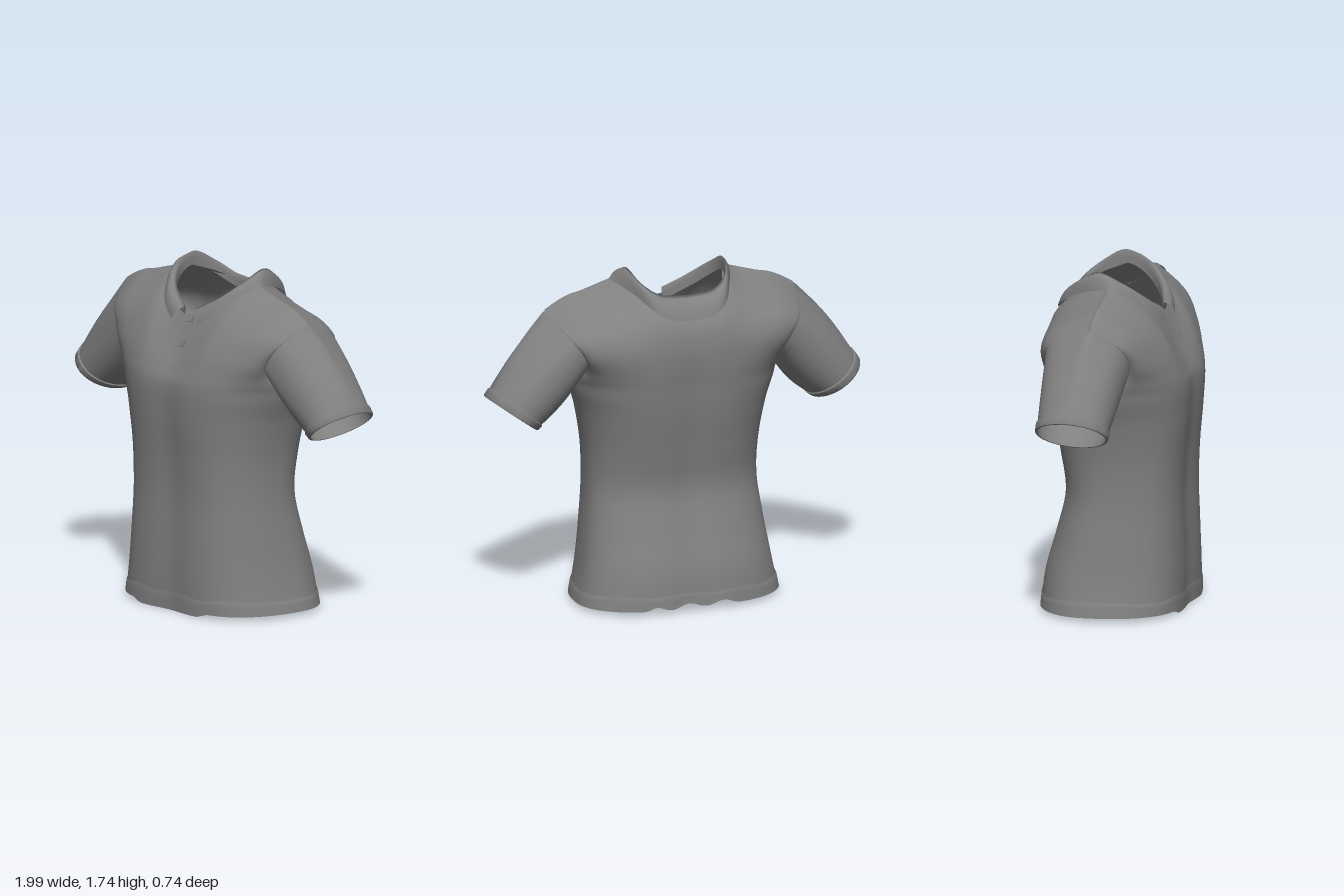
import * as THREE from 'three';
import { mergeVertices, toCreasedNormals } from 'three/addons/utils/BufferGeometryUtils.js';

const V = (x, y, z) => new THREE.Vector3(x, y, z);
const { lerp, clamp, smoothstep } = THREE.MathUtils;
const path = keys => new THREE.CatmullRomCurve3(keys.map(k => V(...k)), false, 'catmullrom', 0.5);
const track = values => {
  const c = path(values.map(v => [v, 0, 0]));
  return f => c.getPoint(clamp(f / (values.length - 1), 0, 1)).x;
};

// Smooth surface from a rule point(a, b), with a and b from 0 to 1
function grid(point, nu, nv) {
  const pos = [], index = [];
  for (let j = 0; j <= nv; j++)
    for (let i = 0; i <= nu; i++) pos.push(...point(i / nu, j / nv).toArray());
  for (let j = 0; j < nv; j++)
    for (let i = 0; i < nu; i++) {
      const p = j * (nu + 1) + i, q = p + nu + 1;
      index.push(p, p + 1, q, p + 1, q + 1, q);
    }
  let geo = new THREE.BufferGeometry();
  geo.setAttribute('position', new THREE.Float32BufferAttribute(pos, 3));
  geo.setIndex(index);
  geo = mergeVertices(geo, 1e-5);
  geo.computeVertexNormals();
  return geo;
}

// Torso measurements: keys 0-6 run from hem to armpit, 6-10 from armpit to shoulder;
// topY and topZ run from the middle of the neckline out along the shoulder
const levelY = track([0.02, 0.2, 0.4, 0.6, 0.8, 1.0, 1.17]);
const sideZ = track([-0.075, -0.065, -0.03, 0, 0, 0, 0]);
const halfWidth = track([0.53, 0.495, 0.467, 0.448, 0.455, 0.49, 0.54, 0.525, 0.56, 0.62, 0.68]);
const ridgeZ = 0.03;
const panels = {
  front: {
    dir: 1, lowRound: 3.9, highRound: 2.9,
    centre: track([0.36, 0.36, 0.355, 0.35, 0.36, 0.38, 0.385, 0.35, 0.305, 0.265, 0.23]),
    armhole: track([0, 0.165, 0.19, 0.155, ridgeZ]),
    topY: track([1.49, 1.505, 1.54, 1.6, 1.67, 1.655, 1.635, 1.615, 1.6, 1.57, 1.53]),
    topZ: track([0.22, 0.215, 0.19, 0.13, 0.03, 0.03, 0.03, 0.03, 0.03, 0.03, 0.03]),
  },
  back: {
    dir: -1, lowRound: 2.8, highRound: 3.2,
    centre: track([-0.365, -0.345, -0.29, -0.245, -0.27, -0.305, -0.325, -0.335, -0.335, -0.315, -0.25]),
    armhole: track([0, -0.17, -0.23, -0.19, ridgeZ]),
    topY: track([1.56, 1.565, 1.58, 1.62, 1.67, 1.655, 1.635, 1.615, 1.6, 1.57, 1.53]),
    topZ: track([-0.24, -0.24, -0.23, -0.17, -0.02, 0.03, 0.03, 0.03, 0.03, 0.03, 0.03]),
  },
};

// Point on the torso: u from -1 to 1 across a panel, v from 0 to 10 up it
function torso(side, u, v) {
  const p = panels[side], w = Math.min(1, Math.abs(u)), t = Math.max(0, (v - 6) / 4);
  const round = lerp(p.lowRound, p.highRound, smoothstep(v, 3, 6));
  const shape = Math.sqrt(Math.max(0, 1 - w ** round));
  const edge = t > 0 ? p.armhole(t * 4) : sideZ(v);
  let z = lerp(edge, p.centre(v), shape);
  z += (p.topZ(w * 10) - lerp(ridgeZ, p.centre(10), shape)) * t ** 4;
  z -= p.dir * 0.014 * Math.exp(-((u / 0.2) ** 2)) * (1 - t);
  return V(u * halfWidth(v), t > 0 ? lerp(1.17, p.topY(w * 10), t) : levelY(v), z);
}

// Point lying just above the shoulders: s < 0 is behind the shoulder line, s > 0 before it
function onShoulder(u, s, lift) {
  const p = torso(s < 0 ? 'back' : 'front', u, 10 - 4 * Math.abs(s));
  p.y += lift * 0.7;
  p.z += lift * clamp(s * 12, -1, 1);
  return p;
}

// Sleeve: blends from the armhole loop to an oval cuff
function sleeve(a, s, r = 1) {
  const t = a < 0.5 ? 2 * a : 2 - 2 * a, sign = a < 0.5 ? 1 : -1;
  const start = torso(sign > 0 ? 'front' : 'back', 1, 6 + 4 * t);
  const c = -Math.cos(Math.PI * t), n = Math.sin(Math.PI * t);
  const end = V(0.874 + 0.119 * c, 1.038 + 0.086 * c, -0.017 + sign * 0.178 * n);
  const p = start.lerp(end, s);
  const bulge = 0.015 * Math.sin(Math.PI * s);
  p.x += bulge * c;
  p.y += bulge * c;
  const mid = V(lerp(0.61, 0.874, s), lerp(1.35, 1.038, s), -0.017);
  return p.sub(mid).multiplyScalar(r).add(mid);
}

export function createModel() {
  const shirt = new THREE.Group();
  shirt.name = 'poloShirt';
  const fabric = new THREE.MeshStandardMaterial({ color: 0x808080, side: THREE.DoubleSide });
  fabric.name = 'grey fabric';
  const add = (name, geo) => {
    const m = new THREE.Mesh(geo, fabric);
    m.name = name;
    shirt.add(m);
    return m;
  };
  // Adds a part and its mirror image
  const addPair = (name, point, nu, nv, finish = g => g) => {
    add(name + 'Left', finish(grid(point, nu, nv)));
    add(name + 'Right', finish(grid((a, b) => point(1 - a, b).multiply(V(-1, 1, 1)), nu, nv)));
  };

  // Front and back panels with the hem band around their lower edge
  for (const side of ['front', 'back']) {
    const dir = panels[side].dir;
    const across = a => dir * Math.sin((a - 0.5) * Math.PI);
    add(side + 'Panel', grid((a, b) => torso(side, across(a), 0.25 + 9.75 * b), 48, 60));
    add(side + 'Hem', grid((a, b) => {
      const p = torso(side, across(a), 0.4 * b);
      const out = b > 0.99 ? 1.002 : 1.01;
      const middle = smoothstep(0.28 - Math.abs(p.x), 0, 0.08);
      const drop = dir > 0 ? -0.02 * middle : middle * (0.012 + 0.012 * Math.sin(p.x * 34));
      p.y += drop * (1 - b) + 0.006 * b * Math.sin(p.x * 21);
      return p.multiply(V(out, 1, out));
    }, 64, 5));
  }

  // Sleeves and their folded cuffs
  addPair('sleeve', (a, b) => sleeve(1 - a, b * 0.97), 40, 14);
  const fold = [[0.9, 1.0], [0.91, 1.04], [0.99, 1.05], [1, 1.03], [1, 0.98], [0.91, 0.97]];
  addPair('cuff', (a, b) => sleeve(1 - a, ...fold[Math.round(b * 5)]), 40, 5,
    g => toCreasedNormals(g, 0.7));

  // Overlapping seam along the top of each shoulder
  addPair('shoulderSeam', (a, b) => onShoulder(lerp(0.985, 0.45, a), lerp(0.03, -0.02, b),
    b < 0.9 ? 0.009 : 0.002), 20, 6);

  // Turned-down collar, from front points round the back of the neck
  const rim = path([[0, -0.17, 0], [0.2, -0.17, 0], [0.36, -0.13, 0], [0.46, -0.03, 0],
    [0.46, 0.03, 0], [0.35, 0.15, 0], [0.15, 0.17, 0]]);
  const crest = path([[0, 1.61, -0.215], [0.14, 1.625, -0.21], [0.225, 1.68, -0.16], [0.258, 1.737, -0.05],
    [0.245, 1.69, 0.06], [0.17, 1.61, 0.15], [0.035, 1.53, 0.21]]);
  add('collar', grid((a, b) => {
    const q = 1 - 2 * a, f = Math.abs(q), k = Math.min(1, b / 0.75);
    const r = rim.getPoint(f), top = crest.getPoint(f);
    const p = onShoulder(Math.max(0, r.x), r.y, 0.009).lerp(top, k);
    const puff = 0.012 * Math.sin(Math.PI * k);
    p.y += puff;
    p.z += puff * clamp((p.z + 0.03) * 8, -1, 1);
    if (b > 0.75) p.y -= (b - 0.75) * 0.28;
    p.x *= Math.sign(q);
    return p;
  }, 64, 8));

  // Buttons below the collar opening
  for (const y of [1.48, 1.365]) {
    const button = add('button', new THREE.BoxGeometry(0.036, 0.036, 0.018));
    button.position.copy(torso('front', 0.04, 6 + 4 * (y - 1.17) / 0.32));
    button.position.z += 0.008;
    button.rotation.x = -0.45;
  }
  return shirt;
}
